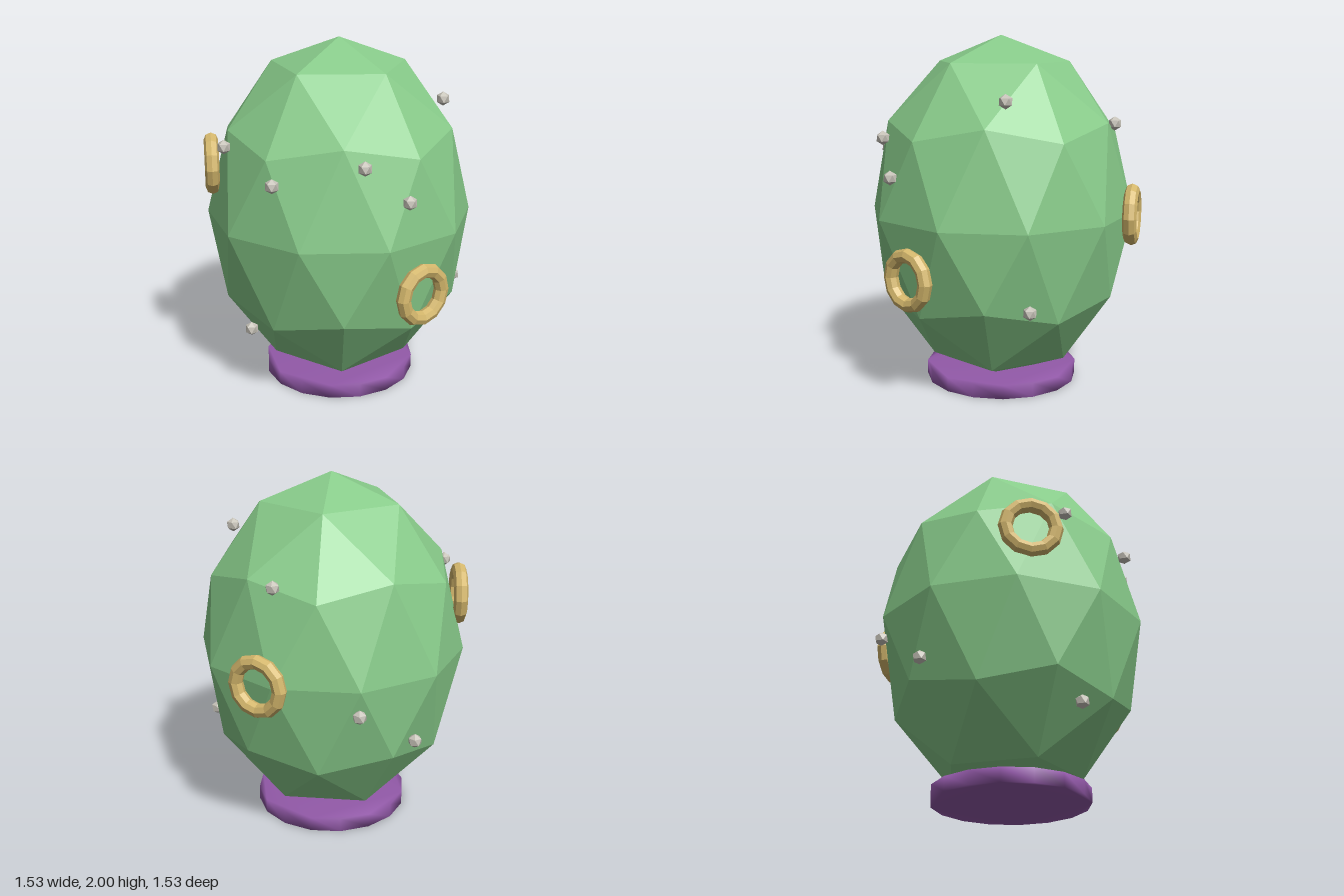
import * as THREE from 'three';
import { mergeVertices } from 'three/addons/utils/BufferGeometryUtils.js';

const CX = -0.01; // axis of the egg and its base

function material(name, color) {
  const m = new THREE.MeshStandardMaterial({ color });
  m.name = name;
  return m;
}

// faceted geometry: every triangle gets its own normal
function faceted(geometry) {
  const g = geometry.index ? geometry.toNonIndexed() : geometry;
  g.computeVertexNormals();
  return g;
}

// icosphere with one corner at the top and the next row starting at +x
function poleIcosphere(radius, detail) {
  return new THREE.IcosahedronGeometry(radius, detail)
    .rotateX(-Math.atan((1 + Math.sqrt(5)) / 2))
    .rotateY(Math.PI / 2);
}

// short 16-sided disc with softly shaded rims
function discGeometry(radius, height, sides) {
  const points = [];
  for (let i = 0; i < sides; i++) {
    const a = (i / sides) * Math.PI * 2;
    points.push(new THREE.Vector2(Math.cos(a) * radius, Math.sin(a) * radius));
  }
  let g = new THREE.ExtrudeGeometry(new THREE.Shape(points), { depth: height, bevelEnabled: false });
  g.rotateX(-Math.PI / 2);
  g.deleteAttribute('normal');
  g.deleteAttribute('uv');
  g = mergeVertices(g, 1e-4);
  g.computeVertexNormals();
  return g;
}

export function createModel() {
  const group = new THREE.Group();
  group.name = 'decoratedEgg';

  const green = material('green shell', 0x88cb8a);
  const gold = material('gold', 0xd4b76c);
  const silver = material('silver', 0xc6c2b8);
  const purple = material('purple base', 0x9259a8);

  const add = (name, geometry, mat, x, y, z) => {
    const mesh = new THREE.Mesh(geometry, mat);
    mesh.name = name;
    mesh.position.set(x, y, z);
    group.add(mesh);
    return mesh;
  };

  // shell
  add('shell', faceted(poleIcosphere(1, 1).scale(0.76, 1, 0.76)), green, CX, 1, 0);

  // base
  add('base', discGeometry(0.44, 0.08, 16), purple, CX, 0, 0);

  // three rings lying against the shell, a third of a turn apart
  const ringGeometry = faceted(new THREE.TorusGeometry(0.1375, 0.04, 8, 12));
  [0.705, 1.305, 1.0].forEach((y, i) => {
    const a = (i * Math.PI * 2) / 3;
    const r = 0.76 * Math.sqrt(1 - (y - 1) ** 2);
    const ring = add('ring' + (i + 1), ringGeometry, gold, CX + Math.cos(a) * r, y, Math.sin(a) * r);
    ring.rotation.y = Math.PI / 2 - a;
  });

  // small studs scattered over the shell
  const studGeometry = faceted(poleIcosphere(0.04, 0));
  [
    [-0.165, 1.45, 0.67],
    [0.28, 1.335, 0.665],
    [0.605, 1.44, 0.317],
    [0.727, 1.25, 0.117],
    [-0.73, 0.865, -0.24],
    [-0.71, 0.635, 0.125],
    [-0.03, 0.405, 0.615],
    [0.395, 1.665, -0.417],
    [0.37, 0.565, -0.57],
    [-0.363, 1.51, -0.545],
  ].forEach(([x, y, z], i) => add('stud' + (i + 1), studGeometry, silver, x, y, z));

  return group;
}
